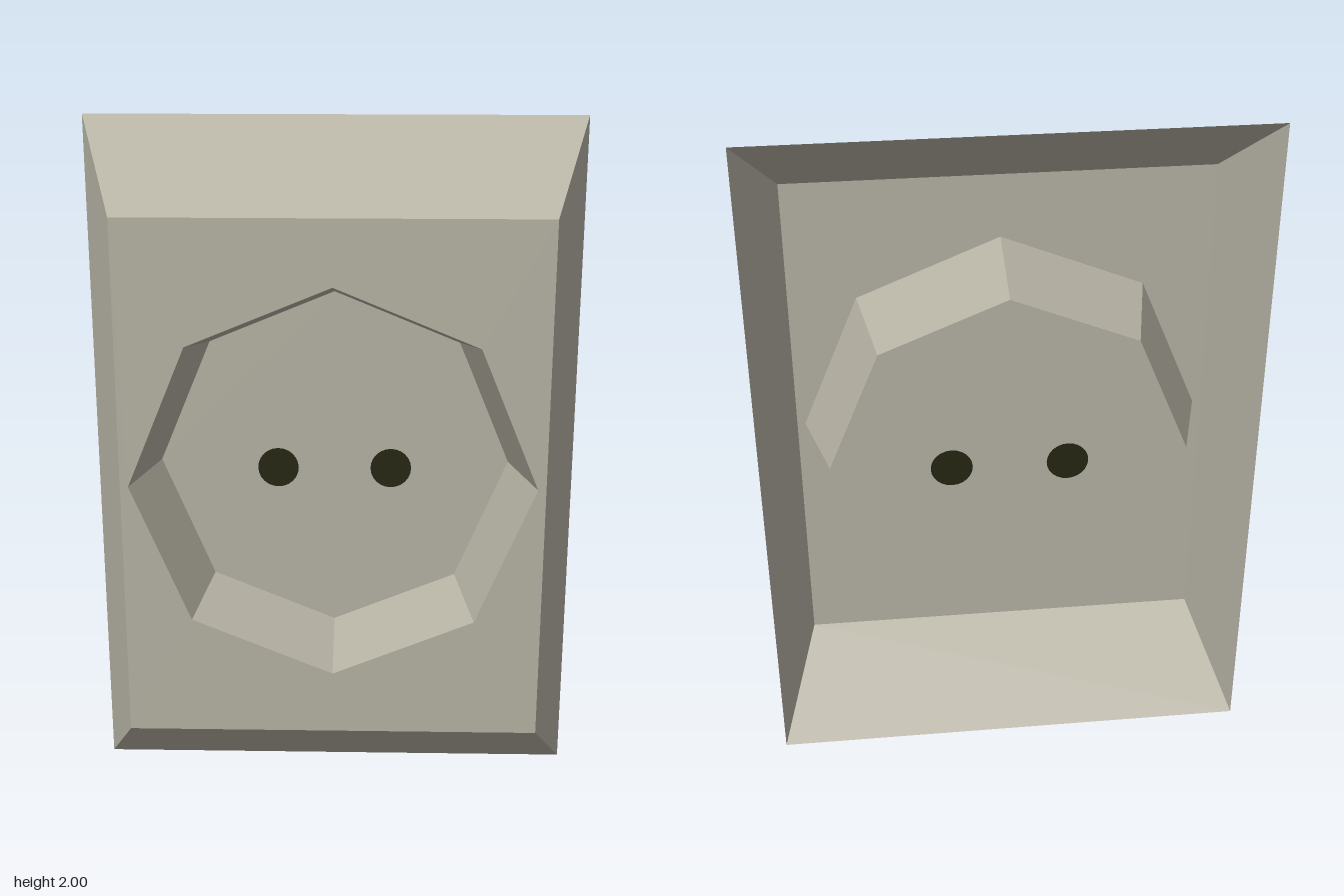
import * as THREE from 'three';

const FRONT = 0.145, BACK = -0.145, FLOOR = -0.098;

// Counter-clockwise outlines around the plate centre
const rect = (w, h) => [[-w, -h], [w, -h], [w, h], [-w, h]].map(([x, y]) => new THREE.Vector2(x, y));
const ring = (r, n, cx = 0, cy = 0) => Array.from({ length: n }, (_, i) => {
  const a = (i / n) * Math.PI * 2;
  return new THREE.Vector2(cx + r * Math.cos(a), cy + r * Math.sin(a));
});

// Flat facets joining outline a at depth za to outline b at depth zb
function loft(a, za, b, zb) {
  const pos = [];
  a.forEach((p, i) => {
    const j = (i + 1) % a.length;
    const A = [p.x, p.y, za], B = [a[j].x, a[j].y, za];
    const C = [b[j].x, b[j].y, zb], D = [b[i].x, b[i].y, zb];
    pos.push(...A, ...B, ...C, ...A, ...C, ...D);
  });
  const geo = new THREE.BufferGeometry();
  geo.setAttribute('position', new THREE.Float32BufferAttribute(pos, 3));
  geo.computeVertexNormals();
  return geo;
}

// Flat face with optional cut-outs
function face(outline, z, holes = []) {
  const shape = new THREE.Shape(outline);
  holes.forEach((h) => shape.holes.push(new THREE.Path(h)));
  return new THREE.ShapeGeometry(shape).translate(0, 0, z);
}

export function createModel() {
  const plastic = new THREE.MeshStandardMaterial({ color: 0xb4b1a2, side: THREE.DoubleSide });
  plastic.name = 'warm grey plastic';
  const dark = new THREE.MeshStandardMaterial({ color: 0x262613, side: THREE.DoubleSide });
  dark.name = 'dark opening';

  const group = new THREE.Group();
  group.name = 'wallSocket';
  const add = (name, geo, mat) => {
    const mesh = new THREE.Mesh(geo, mat);
    mesh.name = name;
    mesh.position.y = 1;
    group.add(mesh);
  };

  const base = rect(0.705, 1), front = rect(0.6, 0.765);
  const rim = ring(0.577, 8), floor = ring(0.51, 8);
  const pins = [-0.166, 0.166].map((x) => ring(0.06, 24, x, -0.023));

  // Open-backed cover
  add('coverBevel', loft(base, BACK, front, FRONT), plastic);
  add('coverFront', face(front, FRONT, [rim]), plastic);

  // Octagonal recess
  add('recessWall', loft(rim, FRONT, floor, FLOOR), plastic);
  add('recessFloor', face(floor, FLOOR, pins), plastic);

  // Pin openings
  pins.forEach((p, i) => add(i ? 'leftPinHole' : 'rightPinHole', face(p, FLOOR), dark));
  return group;
}
